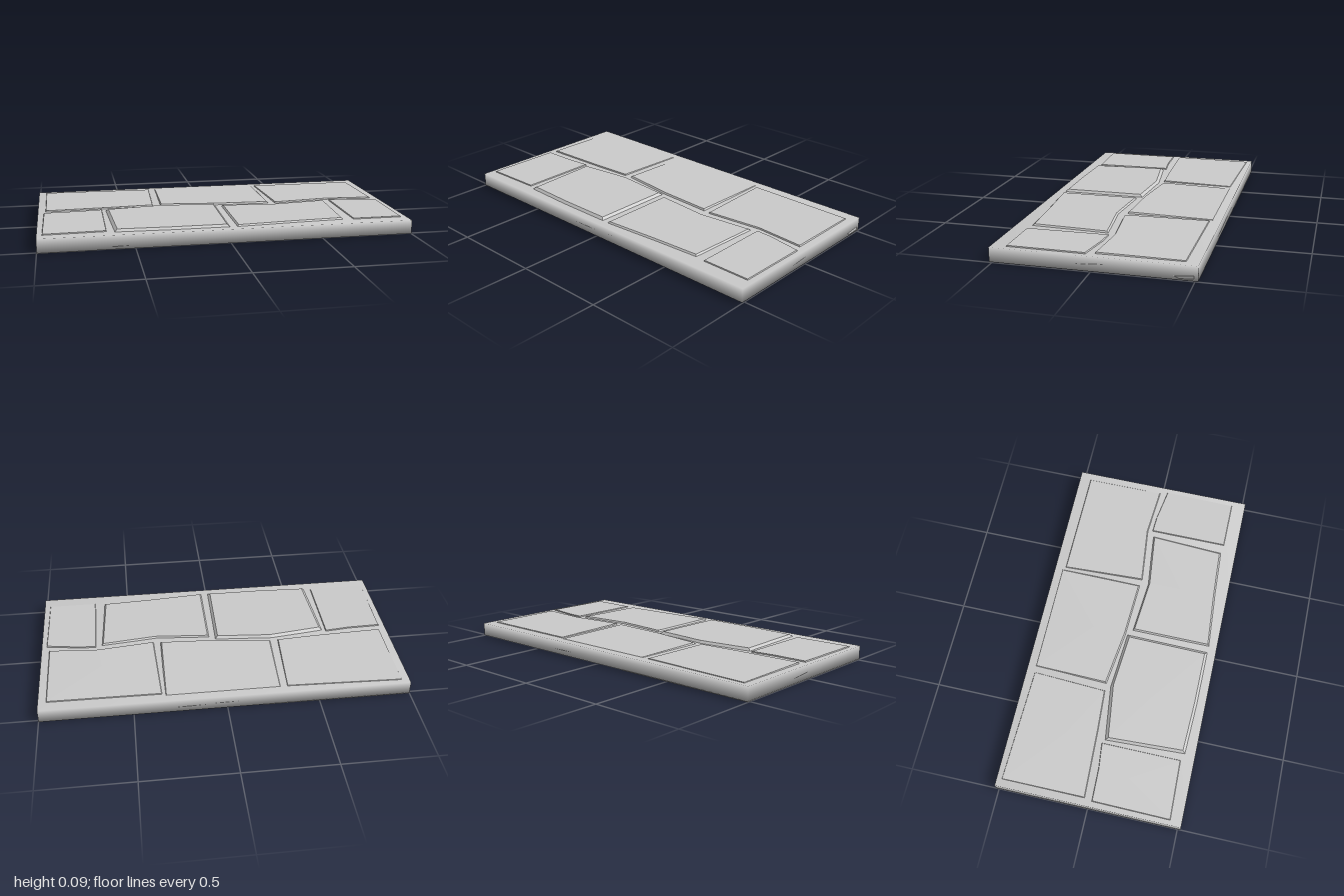
import * as THREE from 'three';
import { mergeVertices } from 'three/addons/utils/BufferGeometryUtils.js';

const material = new THREE.MeshStandardMaterial({ color: 0xcccccc });

// Stones: outline [x, z] clockwise from above, top height at back and front, bevel width
const stones = [
  { name: 'backLeftStone', back: 0.08, front: 0.084, bevel: 0.006,
    outline: [[-0.96, -0.49], [-0.325, -0.47], [-0.345, -0.05], [-0.58, -0.035], [-0.96, -0.02]] },
  { name: 'backMiddleStone', back: 0.079, front: 0.086, bevel: 0.012,
    outline: [[-0.3, -0.48], [0.335, -0.48], [0.33, 0.005], [0, -0.01], [-0.31, -0.05]] },
  { name: 'backRightStone', back: 0.081, front: 0.084, bevel: 0.008,
    outline: [[0.34, -0.46], [0.96, -0.455], [0.96, -0.005], [0.69, -0.025], [0.36, 0.01]] },
  { name: 'frontLeftStone', back: 0.083, front: 0.082, bevel: 0.006,
    outline: [[-0.97, 0.015], [-0.78, 0.01], [-0.64, -0.005], [-0.64, 0.445], [-0.975, 0.455]] },
  { name: 'frontMiddleLeftStone', back: 0.09, front: 0.089, bevel: 0.022,
    outline: [[-0.63, 0.005], [-0.32, -0.035], [0.015, -0.01], [0.01, 0.475], [-0.32, 0.475], [-0.61, 0.465]] },
  { name: 'frontMiddleRightStone', back: 0.085, front: 0.085, bevel: 0.015,
    outline: [[0.035, 0.015], [0.34, 0.04], [0.665, 0.005], [0.645, 0.435], [0.38, 0.45], [0.035, 0.475]] },
  { name: 'frontRightStone', back: 0.083, front: 0.082, bevel: 0.006,
    outline: [[0.69, -0.005], [0.78, 0], [0.975, 0.03], [0.97, 0.44], [0.69, 0.44]] },
];

// A bevelled stone with a flat, slightly tilted top
function stoneGeometry({ outline, back, front, bevel }) {
  const n = outline.length;
  const cx = outline.reduce((s, p) => s + p[0], 0) / n;
  const cz = outline.reduce((s, p) => s + p[1], 0) / n;
  const zs = outline.map((p) => p[1]);
  const zMin = Math.min(...zs);
  const zMax = Math.max(...zs);
  const height = (z) => THREE.MathUtils.mapLinear(z, zMin, zMax, back, front);
  const base = outline.map(([x, z]) => [x, 0.07, z]);
  const top = outline.map(([x, z]) => {
    const tx = x - Math.sign(x - cx) * Math.min(bevel, Math.abs(x - cx));
    const tz = z - Math.sign(z - cz) * bevel;
    return [tx, height(tz), tz];
  });
  const centre = [cx, height(cz), cz];
  const positions = [];
  for (let i = 0; i < n; i++) {
    const j = (i + 1) % n;
    positions.push(...centre, ...top[j], ...top[i]);
    positions.push(...base[i], ...top[i], ...top[j]);
    positions.push(...base[i], ...top[j], ...base[j]);
  }
  const geometry = new THREE.BufferGeometry();
  geometry.setAttribute('position', new THREE.Float32BufferAttribute(positions, 3));
  geometry.computeVertexNormals();
  return geometry;
}

// A thin flat plate cut to a polygon
function plateGeometry(points, depth) {
  const shape = new THREE.Shape(points.map(([x, y]) => new THREE.Vector2(x, y)));
  return new THREE.ExtrudeGeometry(shape, { depth, bevelEnabled: false });
}

export function createModel() {
  const group = new THREE.Group();
  const add = (name, geometry) => {
    const mesh = new THREE.Mesh(geometry, material);
    mesh.name = name;
    group.add(mesh);
  };

  // Mortar slab, shaded smoothly across its corners
  let slab = new THREE.BoxGeometry(1.998, 0.075, 1.03);
  slab.deleteAttribute('normal');
  slab.deleteAttribute('uv');
  slab = mergeVertices(slab);
  slab.computeVertexNormals();
  slab.translate(0, 0.0395, 0);
  add('slab', slab);

  // Paving stones set into the top
  for (const stone of stones) add(stone.name, stoneGeometry(stone));

  // Flat stone face showing under the slab
  const under = plateGeometry(
    [[-1, -0.515], [-0.19, -0.515], [-0.47, 0.22], [-0.74, 0.5], [-0.76, 0.515], [-1, 0.515]], 0.004);
  under.rotateX(Math.PI / 2).translate(0, 0.004, 0);
  add('undersideStone', under);

  // Small stone chip showing in the right-hand end
  const chip = plateGeometry([[0.4, 0.02], [0.425, 0.009], [0.495, 0.013], [0.495, 0.029]], 0.003);
  chip.rotateY(Math.PI / 2).translate(0.997, 0, 0);
  add('sideChip', chip);

  return group;
}
